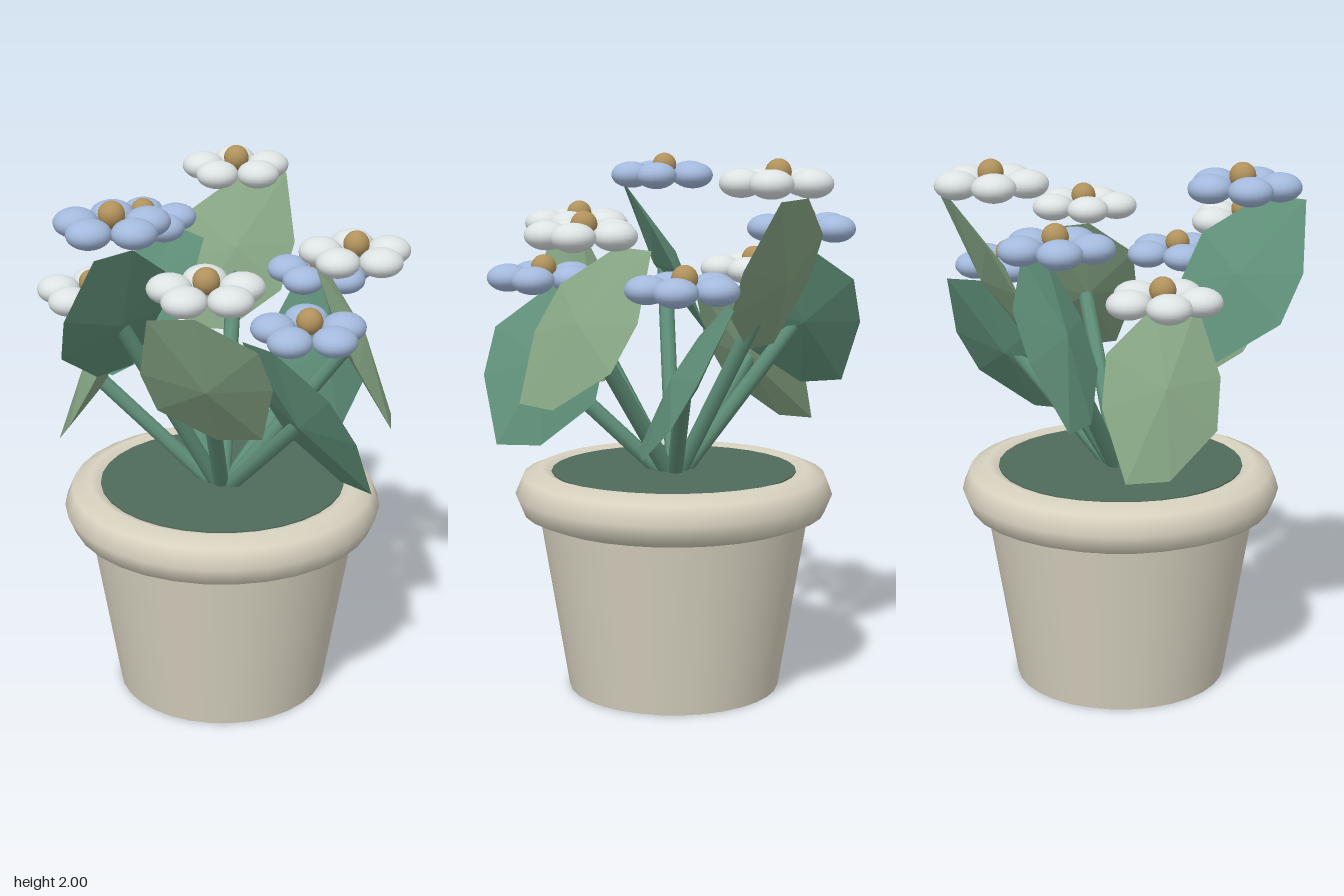
import * as THREE from 'three';

const material = (color, flat = false) => new THREE.MeshStandardMaterial({ color, flatShading: flat });

function addMesh(parent, name, geometry, mat, x = 0, y = 0, z = 0) {
  const mesh = new THREE.Mesh(geometry, mat);
  mesh.name = name;
  mesh.position.set(x, y, z);
  parent.add(mesh);
  return mesh;
}

// Thin faceted leaf: an eight-cornered outline with a low peak on each face
function leafGeometry() {
  const along = new THREE.Vector3(-0.18, 0.27, 0.15);
  const across = new THREE.Vector3(0.2, 0.11, 0.05);
  const normal = new THREE.Vector3().crossVectors(across, along).setLength(0.05);
  const half = [[0, 1], [0.6, 0.78], [1, 0.1], [0.75, -0.42]];
  const outline = [...half, ...half.map(([a, b]) => [-a, -b])].map(([a, b]) =>
    new THREE.Vector3().addScaledVector(across, a).addScaledVector(along, b));
  const points = [];
  outline.forEach((p, i) => {
    const q = outline[(i + 1) % outline.length];
    points.push(q, p, normal, p, q, normal.clone().negate());
  });
  const geometry = new THREE.BufferGeometry().setFromPoints(points);
  geometry.computeVertexNormals();
  return geometry;
}

// Round stem between two points
function addStem(parent, from, to, mat) {
  const dir = to.clone().sub(from);
  const stem = addMesh(parent, 'stem', new THREE.CylinderGeometry(0.03, 0.03, dir.length(), 8), mat);
  stem.position.copy(from).addScaledVector(dir, 0.5);
  stem.quaternion.setFromUnitVectors(new THREE.Vector3(0, 1, 0), dir.normalize());
}

export function createModel() {
  const model = new THREE.Group();
  model.name = 'pottedFlowers';

  const clay = material(0xd8d2c0);
  const soil = material(0x4f6b5a);
  const green = material(0x5f8f78);
  const leafMats = [material(0x5f8f78, true), material(0x86a584, true)];
  const petalMats = [material(0xa3b9dc), material(0xdde3e3)];
  const gold = material(0xb0925c);

  // Pot with a rounded rim and a soil disc
  addMesh(model, 'pot', new THREE.CylinderGeometry(0.52, 0.4, 0.75, 32), clay, 0, 0.375, 0);
  const rim = addMesh(model, 'potRim', new THREE.TorusGeometry(0.5, 0.097, 8, 32), clay, 0, 0.75, 0);
  rim.rotation.x = Math.PI / 2;
  addMesh(model, 'soil', new THREE.CylinderGeometry(0.46, 0.46, 0.1, 32), soil, 0, 0.785, 0);

  const leafShape = leafGeometry();
  const petalShape = new THREE.SphereGeometry(0.079, 20, 14).scale(1, 0.65, 1);
  const centreShape = new THREE.SphereGeometry(0.047, 16, 12);

  // Eight plants in a ring, at three repeating heights and two petal colours
  for (let i = 0; i < 8; i++) {
    const angle = (i * Math.PI) / 4;
    const x = 0.48 * Math.cos(angle), z = 0.48 * Math.sin(angle);
    const y = 1.56 + (i % 3) * 0.178;
    const plant = new THREE.Group();
    plant.name = 'plant';
    model.add(plant);

    addStem(plant, new THREE.Vector3(0, 0.78, 0), new THREE.Vector3(x, y - 0.32, z), green);
    const leaf = addMesh(plant, 'leaf', leafShape, leafMats[i % 2], x, y - 0.325, z);
    leaf.rotation.y = angle;

    // Flower: five petals round a small centre
    for (let k = 0; k < 5; k++) {
      const turn = (k * Math.PI * 2) / 5;
      addMesh(plant, 'petal', petalShape, petalMats[i % 2],
        x + 0.13 * Math.cos(turn), y, z + 0.13 * Math.sin(turn));
    }
    addMesh(plant, 'flowerCentre', centreShape, gold, x, y + 0.038, z);
  }
  return model;
}
